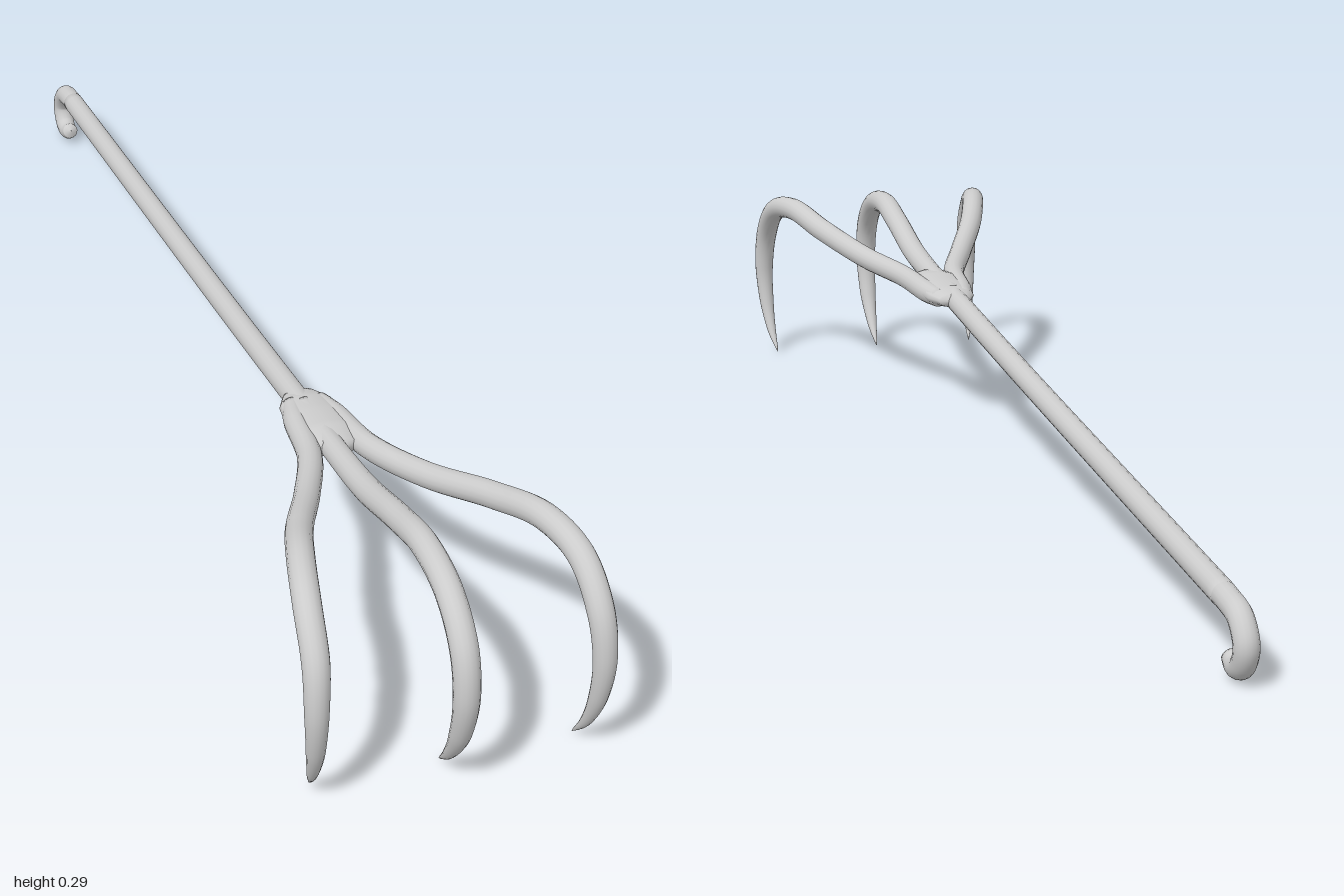
import * as THREE from 'three';
import { mergeVertices } from 'three/addons/utils/BufferGeometryUtils.js';

const material = new THREE.MeshStandardMaterial({ color: 0xcccccc });
const MID = -0.005; // axis of the rod and middle tine

// Closed round bar through points [x, y, z, radius]; the radius follows the points.
// widen stretches the section sideways.
function bar(name, pts, segments, widen = 1) {
  const curve = new THREE.CatmullRomCurve3(pts.map(([x, y, z]) => new THREE.Vector3(x, y, z)));
  const sides = 16;
  const geo = new THREE.TubeGeometry(curve, segments, 1, sides);
  const pos = geo.attributes.position;
  const v = new THREE.Vector3();
  for (let i = 0; i <= segments; i++) {
    const u = i / segments;
    const centre = curve.getPointAt(u);
    const f = curve.getUtoTmapping(u) * (pts.length - 1);
    const k = Math.min(Math.floor(f), pts.length - 2);
    const end = i === 0 || i === segments;
    const r = end ? 0.0005 : THREE.MathUtils.lerp(pts[k][3], pts[k + 1][3], f - k);
    for (let j = 0; j <= sides; j++) {
      const n = i * (sides + 1) + j;
      v.fromBufferAttribute(pos, n).sub(centre).multiplyScalar(r);
      v.x *= widen;
      v.add(centre);
      pos.setXYZ(n, v.x, v.y, v.z);
    }
  }
  geo.deleteAttribute('uv');
  geo.deleteAttribute('normal');
  const smooth = mergeVertices(geo, 1e-5);
  smooth.computeVertexNormals();
  const mesh = new THREE.Mesh(smooth, material);
  mesh.name = name;
  return mesh;
}

export function createModel() {
  const group = new THREE.Group();
  group.name = 'handRake';

  // Long sloping handle
  group.add(bar('handle', [
    [MID, 0.206, 0.42, 0.017], [MID, 0.168, 0, 0.017], [MID, 0.092, -0.92, 0.017],
  ], 80));

  // Small curl at the back end
  group.add(bar('hangingHook', [
    [MID, 0.095, -0.88, 0.0165], [MID, 0.091, -0.925, 0.0165], [MID, 0.082, -0.962, 0.0165],
    [MID, 0.053, -0.983, 0.0165], [MID, 0.026, -0.971, 0.016], [MID, 0.019, -0.95, 0.015],
    [MID, 0.027, -0.928, 0.012],
  ], 48));

  // Middle tine: rises, bends over and tapers to a point
  group.add(bar('middleTine', [
    [MID, 0.202, 0.36, 0.017], [MID, 0.211, 0.5, 0.017], [MID, 0.226, 0.62, 0.018],
    [MID, 0.256, 0.74, 0.018], [MID, 0.273, 0.83, 0.018], [MID, 0.258, 0.915, 0.018],
    [MID, 0.212, 0.968, 0.018], [MID, 0.15, 0.983, 0.017], [MID, 0.085, 0.968, 0.014],
    [MID, 0.035, 0.937, 0.008], [MID, 0.003, 0.905, 0.001],
  ], 110));

  // Outer tines, mirrored
  for (const [side, name] of [[1, 'leftTine'], [-1, 'rightTine']]) {
    group.add(bar(name, [
      [side * 0.018, 0.201, 0.35, 0.014], [side * 0.028, 0.203, 0.4, 0.017],
      [side * 0.042, 0.21, 0.5, 0.017], [side * 0.083, 0.224, 0.61, 0.0175],
      [side * 0.13, 0.252, 0.72, 0.018], [side * 0.16, 0.273, 0.815, 0.018],
      [side * 0.177, 0.26, 0.89, 0.018], [side * 0.183, 0.212, 0.942, 0.0175],
      [side * 0.186, 0.15, 0.958, 0.0155], [side * 0.184, 0.085, 0.95, 0.012],
      [side * 0.18, 0.035, 0.928, 0.007], [side * 0.175, 0.003, 0.903, 0.001],
    ], 110));
  }

  // Flattened weld that joins the tines to the handle
  group.add(bar('tineJoint', [
    [0, 0.2, 0.325, 0.009], [0, 0.202, 0.36, 0.016], [0, 0.204, 0.4, 0.018],
    [0, 0.207, 0.45, 0.018], [0, 0.21, 0.495, 0.012],
  ], 30, 2.4));

  return group;
}
